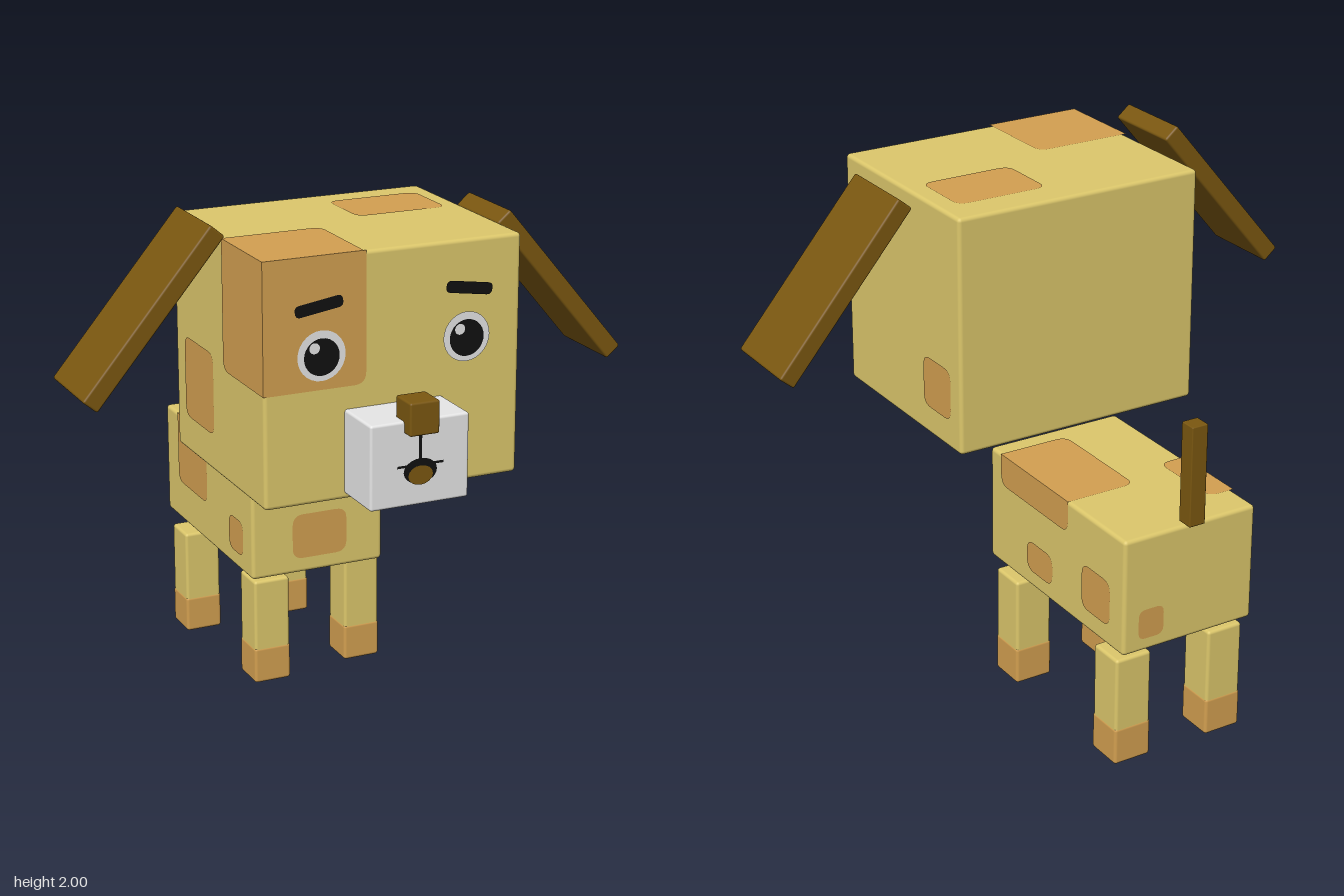
import * as THREE from 'three';
import { RoundedBoxGeometry } from 'three/addons/geometries/RoundedBoxGeometry.js';

const YAW = 0.7295; // the dog stands turned towards its left
const MID = -0.05;  // symmetry plane in the dog's own frame
const LIFT = 0.003; // height of painted details above a surface

const material = (name, color) => {
  const m = new THREE.MeshStandardMaterial({ color });
  m.name = name;
  return m;
};

export function createModel() {
  const tan = material('tan fur', 0xdcc76b);
  const orange = material('orange patch', 0xd29f50);
  const brown = material('dark brown', 0x7a5710);
  const white = material('white', 0xe6e6e6);
  const black = material('black', 0x111111);

  const model = new THREE.Group();
  model.name = 'dog';
  const dog = new THREE.Group();
  dog.name = 'turnedDog';
  dog.rotation.y = YAW;
  model.add(dog);

  const add = (name, geometry, mat, x, y, z) => {
    const mesh = new THREE.Mesh(geometry, mat);
    mesh.name = name;
    mesh.position.set(x, y, z);
    dog.add(mesh);
    return mesh;
  };
  const box = (name, mat, [w, h, d], [x, y, z], r = 0.012) =>
    add(name, new RoundedBoxGeometry(w, h, d, 2, r), mat, x, y, z);

  // Flat rectangle centred on the origin; corners: bottom-left, bottom-right, top-right, top-left
  const roundedRect = (w, h, [bl, br, tr, tl]) => {
    const s = new THREE.Shape();
    const x = w / 2, y = h / 2;
    s.moveTo(-x + bl, -y);
    s.lineTo(x - br, -y);
    if (br) s.quadraticCurveTo(x, -y, x, -y + br);
    s.lineTo(x, y - tr);
    if (tr) s.quadraticCurveTo(x, y, x - tr, y);
    s.lineTo(-x + tl, y);
    if (tl) s.quadraticCurveTo(-x, y, -x, y - tl);
    s.lineTo(-x, -y + bl);
    if (bl) s.quadraticCurveTo(-x, -y, -x + bl, -y);
    return new THREE.ShapeGeometry(s, 6);
  };

  // Painted patch on one side of a box: a and b are ranges along the two axes of that side
  const R = 0.045;
  const ALL = [R, R, R, R];
  const patch = (name, side, at, a, b, corners = ALL, mat = orange) => {
    const u = (a[0] + a[1]) / 2, v = (b[0] + b[1]) / 2;
    const g = roundedRect(Math.abs(a[1] - a[0]), Math.abs(b[1] - b[0]), corners);
    const m = add(name, g, mat, 0, 0, 0);
    const H = Math.PI / 2;
    if (side === 'front') m.position.set(u, v, at + LIFT);
    if (side === 'back') { m.position.set(u, v, at - LIFT); m.rotation.y = Math.PI; }
    if (side === 'left') { m.position.set(at + LIFT, v, u); m.rotation.y = H; }
    if (side === 'right') { m.position.set(at - LIFT, v, u); m.rotation.y = -H; }
    if (side === 'top') { m.position.set(u, at + LIFT, v); m.rotation.x = -H; }
    if (side === 'bottom') { m.position.set(u, at - LIFT, v); m.rotation.x = H; }
  };

  // Head
  const hx0 = MID - 0.5, hx1 = MID + 0.5, hz0 = -0.33, hz1 = 0.5, hTop = 1.92;
  box('head', tan, [1, 0.9, 0.83], [MID, 1.47, 0.085], 0.015);
  patch('eyePatchFront', 'front', hz1, [hx0 - LIFT, hx0 + 0.39], [1.44, hTop + LIFT], [0, R, 0, 0]);
  patch('eyePatchSide', 'right', hx0, [hz1 - 0.36, hz1 + LIFT], [1.44, hTop + LIFT], [R, 0, 0, 0]);
  patch('eyePatchTop', 'top', hTop, [hx0 - LIFT, hx0 + 0.38], [hz1 - 0.36, hz1 + LIFT], [0, 0, R, 0]);
  patch('crownPatch', 'top', hTop, [0.02, 0.38], [-0.21, 0.05]);
  patch('rightCheekPatch', 'right', hx0, [-0.235, 0.042], [1.16, 1.47]);
  patch('leftCheekPatch', 'left', hx1, [-0.265, -0.07], [1.13, 1.325]);

  // Muzzle and nose
  const mz = 0.71;
  box('muzzle', white, [0.384, 0.315, 0.23], [MID, 1.1975, mz - 0.115], 0.01);
  box('nose', brown, [0.115, 0.122, 0.115], [MID - 0.005, 1.372, 0.699], 0.008);

  // Mouth: short line, thin lip, open half oval and tongue
  add('mouthLine', new THREE.PlaneGeometry(0.012, 0.13), black, MID, 1.25, mz + LIFT);
  add('lip', new THREE.PlaneGeometry(0.18, 0.009), black, MID, 1.19, mz + LIFT);
  const mouth = add('mouth', new THREE.CircleGeometry(0.065, 20), black, MID, 1.167, mz + LIFT);
  mouth.scale.y = 0.72;
  const tongue = add('tongue', new THREE.CircleGeometry(0.048, 16), brown, MID, 1.152, mz + 2 * LIFT);
  tongue.scale.y = 0.75;

  // Eyes and brows
  for (const side of [-1, 1]) {
    const word = side > 0 ? 'left' : 'right';
    const x = MID + side * 0.283;
    const disc = (part, mat, r, dx, dy, layer) =>
      add(word + part, new THREE.CircleGeometry(r, 28), mat, x + dx, 1.565 + dy, hz1 + layer * LIFT);
    disc('Eye', white, 0.092, 0, 0, 2);
    disc('Pupil', black, 0.068, 0, -0.004, 2.8);
    disc('EyeGlint', white, 0.02, -0.028, 0.03, 3.3);
    const brow = add(word + 'Brow', roundedRect(0.185, 0.044, [0.02, 0.02, 0.02, 0.02]), black,
      MID + side * 0.292, 1.743, hz1 + 2 * LIFT);
    brow.rotation.z = -side * 0.15;
  }

  // Floppy ears, hanging outward
  for (const [word, x, y, tilt] of [['right', -0.849, 1.69, -0.7], ['left', 0.762, 1.625, 0.7]]) {
    const ear = box(word + 'Ear', brown, [0.07, 0.755, 0.328], [x, y, 0.081], 0.008);
    ear.rotation.z = tilt;
  }

  // Body
  const bx0 = MID - 0.278, bx1 = MID + 0.272, bz0 = -1.047, bz1 = -0.153, bTop = 0.93;
  box('body', tan, [0.55, 0.45, 0.894], [MID - 0.003, 0.705, -0.6], 0.015);
  patch('belly', 'bottom', 0.48, [bx0 + 0.01, bx1 - 0.01], [bz0 + 0.01, bz1 - 0.01], [0, 0, 0, 0], white);
  patch('chestPatch', 'front', bz1, [-0.16, 0.068], [0.54, 0.72]);
  patch('rumpPatch', 'back', bz0, [0.055, 0.16], [0.53, 0.645], [0.03, 0.03, 0.03, 0.03]);
  patch('rightFlankPatch', 'right', bx0, [-0.911, -0.603], [0.645, bTop + LIFT], [R, R, 0, 0]);
  patch('rightBackPatch', 'top', bTop, [bx0 - LIFT, -0.225], [-0.911, -0.603], [0, R, R, 0]);
  patch('rightShoulderPatch', 'right', bx0, [-0.378, -0.236], [0.545, 0.685]);
  patch('leftBackPatch', 'top', bTop, [-0.055, bx1 + LIFT], [-0.69, -0.233], [R, 0, 0, R]);
  patch('leftFlankPatch', 'left', bx1, [-0.69, -0.233], [0.81, bTop + LIFT], [R, R, 0, 0]);
  patch('leftMiddlePatch', 'left', bx1, [-0.589, -0.415], [0.545, 0.665]);
  patch('leftHipPatch', 'left', bx1, [-0.964, -0.783], [0.56, 0.735]);

  // Tail
  box('tail', brown, [0.065, 0.38, 0.065], [MID, 1.13, -1.055], 0.004);

  // Legs with coloured paws, caught in mid step
  const legs = [
    ['frontRight', -0.222, 0.02, -0.285], ['frontLeft', 0.171, 0.04, -0.303],
    ['backRight', -0.26, 0.003, -0.917], ['backLeft', 0.136, 0.006, -0.918],
  ];
  for (const [word, x, y, z] of legs) {
    box(word + 'Leg', tan, [0.147, 0.425, 0.147], [x, y + 0.2125, z]);
    box(word + 'Paw', orange, [0.151, 0.147, 0.151], [x, y + 0.0705, z]);
  }
  return model;
}
